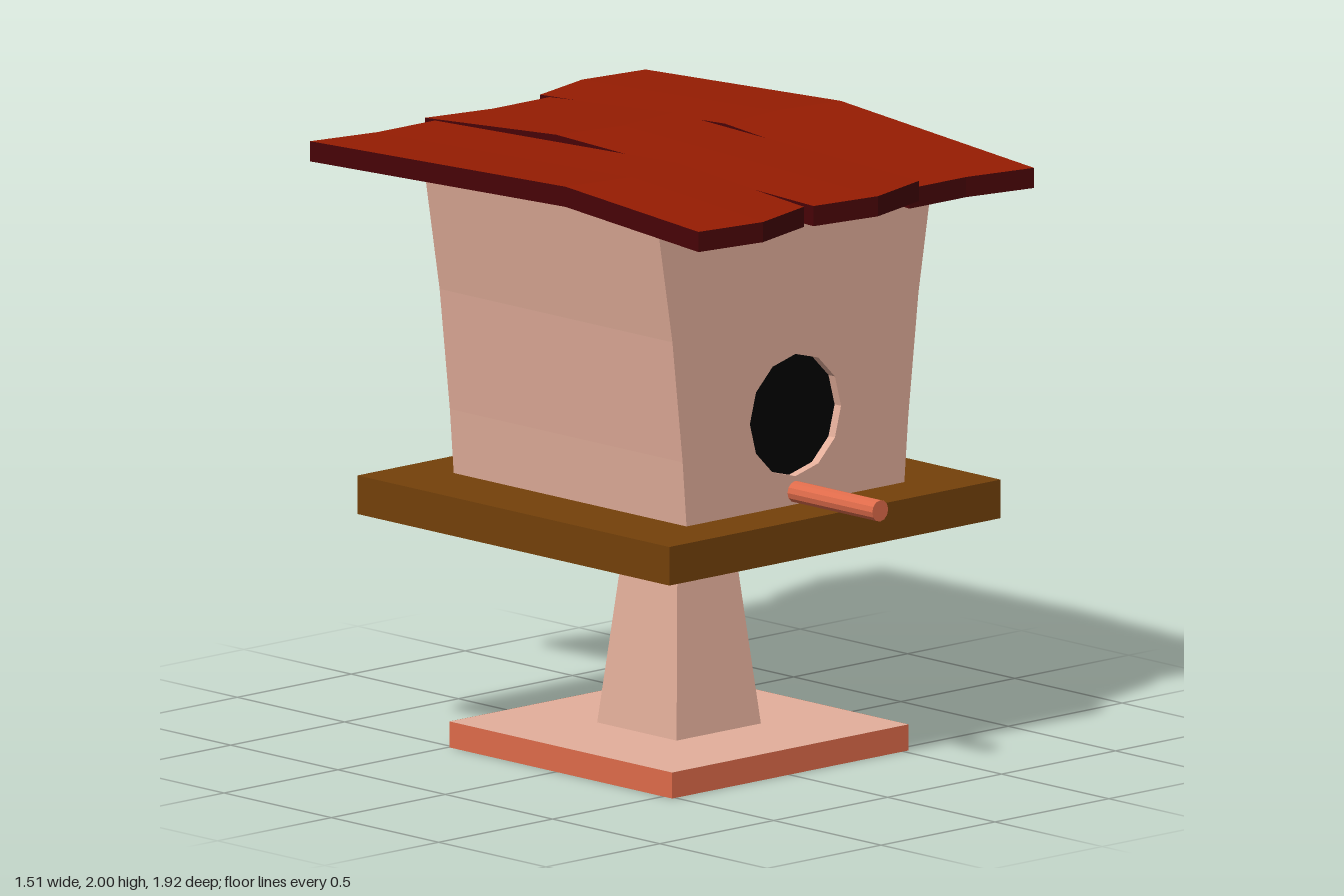
import * as THREE from 'three';

const mat = (name, color, side = THREE.FrontSide) => {
  const m = new THREE.MeshStandardMaterial({ color, side });
  m.name = name;
  return m;
};

export function createModel() {
  const pink = mat('pale pink wood', 0xe4af9b, THREE.DoubleSide);
  const orange = mat('orange wood', 0xe06c4b, THREE.DoubleSide);
  const brown = mat('brown wood', 0x74410a, THREE.DoubleSide);
  const red = mat('red shingle', 0x961c02);
  const darkRed = mat('dark red edge', 0x480306);
  const black = mat('black interior', 0x000000, THREE.DoubleSide);

  const model = new THREE.Group();
  model.name = 'birdhouse';
  const body = new THREE.Group();
  body.name = 'body';
  body.position.set(0.005, 0, 0.0225);
  model.add(body);

  const add = (name, geometry, material, parent = body) => {
    const mesh = new THREE.Mesh(geometry, material);
    mesh.name = name;
    parent.add(mesh);
  };
  const faceted = (geometry) => {
    const g = geometry.toNonIndexed();
    g.computeVertexNormals();
    return g;
  };
  // Flat-shaded four-cornered faces
  const quads = (list) => {
    const pos = [];
    for (const [a, b, c, d] of list) pos.push(...a, ...b, ...c, ...a, ...c, ...d);
    const g = new THREE.BufferGeometry();
    g.setAttribute('position', new THREE.Float32BufferAttribute(pos, 3));
    g.computeVertexNormals();
    return g;
  };
  // Four-sided tapered tube, sized by half widths
  const squareTube = (topHalf, bottomHalf, y0, y1, open = true) =>
    faceted(new THREE.CylinderGeometry(topHalf * Math.SQRT2, bottomHalf * Math.SQRT2, y1 - y0, 4, 1, open)
      .rotateY(Math.PI / 4).translate(0, (y0 + y1) / 2, 0));
  const polygon = (pts, Type = THREE.Shape) => new Type(pts.map(([x, y]) => new THREE.Vector2(x, y)));
  const square = (h) => [[-h, -h], [h, -h], [h, h], [-h, h]];
  // Flat square plate with a square opening
  const ringPlate = (half, holeHalf, y, thickness) => {
    const s = polygon(square(half));
    s.holes.push(polygon(square(holeHalf).reverse(), THREE.Path));
    return new THREE.ExtrudeGeometry(s, { depth: thickness, bevelEnabled: false })
      .rotateX(-Math.PI / 2).translate(0, y, 0);
  };

  // Foot, hollow underneath with a shallow socket
  add('footRim', squareTube(0.519, 0.519, 0, 0.085), orange);
  add('footTop', ringPlate(0.518, 0.095, 0.078, 0.007), pink);
  add('footSocket', squareTube(0.095, 0.095, 0.08, 0.125), pink);
  add('footSocketTop', new THREE.BoxGeometry(0.19, 0.004, 0.19).translate(0, 0.125, 0), pink);

  // Post with a narrower neck
  add('post', squareTube(0.115, 0.185, 0.085, 0.77), pink);
  add('postNeck', squareTube(0.095, 0.115, 0.77, 0.83, false), pink);

  // Platform, hollow underneath, with a dark opening below the house
  add('platformRim', squareTube(0.727, 0.727, 0.762, 0.888), brown);
  add('platformTop', new THREE.BoxGeometry(1.452, 0.004, 1.452).translate(0, 0.886, 0), brown);
  add('platformOpening', new THREE.BoxGeometry(0.99, 0.004, 1.06).translate(0.035, 0.881, 0), black);
  add('platformUnderside', ringPlate(0.724, 0.53, 0.866, 0.004), pink);

  // House: walls flare toward the top, with a dark lining inside
  const D = 0.5425, T = 0.03;
  const hole = Array.from({ length: 12 }, (_, i) => {
    const a = -i * Math.PI / 6;
    return [0.2 * Math.cos(a), 1.18 + 0.2 * Math.sin(a)];
  });
  const buildSkin = (name, inset, material) => {
    const right = [[0.478, 0.887 + inset], [0.495, 1.1], [0.54, 1.5], [0.61, 1.92 - inset]]
      .map(([x, y]) => [x - inset, y]);
    const outline = [...right, ...right.map(([x, y]) => [-x, y]).reverse()];
    const z = D - inset;
    const front = polygon(outline);
    front.holes.push(polygon(hole, THREE.Path));
    add(name + 'Front', new THREE.ShapeGeometry(front).translate(0, 0, z), material);
    add(name + 'Back', new THREE.ShapeGeometry(polygon(outline)).rotateY(Math.PI).translate(0, 0, -z), material);
    const strip = outline.map(([x, y], i) => {
      const [nx, ny] = outline[(i + 1) % outline.length];
      return [[x, y, z], [x, y, -z], [nx, ny, -z], [nx, ny, z]];
    });
    add(name + 'Shell', quads(strip), material);
  };
  buildSkin('wall', 0, pink);
  buildSkin('lining', T, black);
  add('entranceRim', faceted(new THREE.CylinderGeometry(0.2, 0.2, T, 12, 1, true)
    .rotateX(Math.PI / 2).translate(0, 1.18, D - T / 2)), pink);

  // Perch
  add('perch', faceted(new THREE.CylinderGeometry(0.035, 0.035, 0.4, 12).rotateX(Math.PI / 2)
    .translate(0, 0.93, D + 0.195)), orange);

  // Roof boards: three cross-sections along x, each with front, ridge and back points
  const roof = new THREE.Group();
  roof.name = 'roof';
  model.add(roof);
  const boards = [
    { x: -0.505, y: [1.952, 2, 1.957], z: [[0.92, 0.3, -0.89], [0.955, 0.34, -0.84], [0.88, 0.29, -0.84]] },
    { x: 0, y: [1.96, 2, 1.957], z: [[0.92, -0.28, -0.89], [0.955, -0.23, -0.84], [0.88, -0.26, -0.84]] },
    { x: 0.505, y: [1.926, 2, 1.956], z: [[0.83, -0.03, -0.89], [0.83, -0.06, -0.96], [0.88, -0.02, -0.93]] },
  ];
  for (const { x, y, z } of boards) {
    const P = (i, j, low) => [x + (i - 1) * 0.25, y[j] - (low ? 0.066 : 0), z[i][j]];
    const faces = [], edges = [];
    for (let i = 0; i < 2; i++) {
      for (let j = 0; j < 2; j++) {
        faces.push([P(i, j), P(i + 1, j), P(i + 1, j + 1), P(i, j + 1)]);
        faces.push([P(i, j + 1, 1), P(i + 1, j + 1, 1), P(i + 1, j, 1), P(i, j, 1)]);
      }
      edges.push([P(i, 0, 1), P(i + 1, 0, 1), P(i + 1, 0), P(i, 0)]);
      edges.push([P(i + 1, 2, 1), P(i, 2, 1), P(i, 2), P(i + 1, 2)]);
      edges.push([P(2, i, 1), P(2, i + 1, 1), P(2, i + 1), P(2, i)]);
      edges.push([P(0, i + 1, 1), P(0, i, 1), P(0, i), P(0, i + 1)]);
    }
    add('roofBoard', quads(faces), red, roof);
    add('roofBoardEdge', quads(edges), darkRed, roof);
  }
  return model;
}
